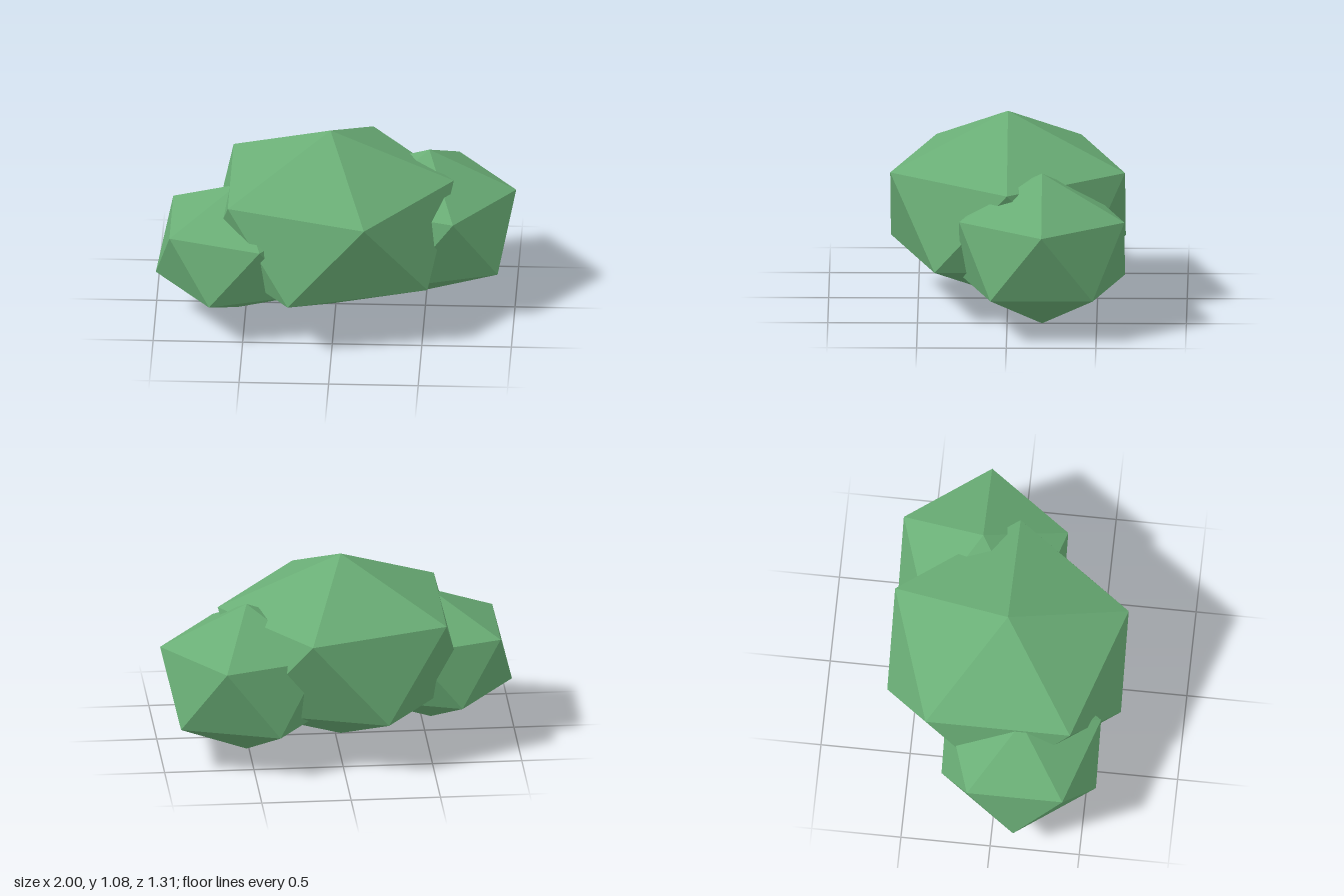
import * as THREE from 'three';

// Faceted clump: a regular icosahedron standing on one corner, flattened in y
function makeClump(name, radius, height, position, material) {
  const geometry = new THREE.IcosahedronGeometry(1, 0);
  // Tip one corner to straight up, leaving an upper-ring corner on +x
  geometry.rotateZ(-Math.atan(2 / (1 + Math.sqrt(5))));
  geometry.scale(radius, height / 2, radius);
  const mesh = new THREE.Mesh(geometry, material);
  mesh.name = name;
  mesh.position.set(...position);
  return mesh;
}

export function createModel() {
  const group = new THREE.Group();
  group.name = 'bush';
  const leaves = new THREE.MeshStandardMaterial({ color: 0x6aae76, flatShading: true });

  // Large middle clump with a smaller one overlapping on each side
  group.add(
    makeClump('middleClump', 0.77, 1.08, [-0.03, 0.541, 0], leaves),
    makeClump('leftClump', 0.542, 0.87, [0.514, 0.44, -0.195], leaves),
    makeClump('rightClump', 0.509, 0.765, [-0.545, 0.415, 0.128], leaves),
  );
  return group;
}
